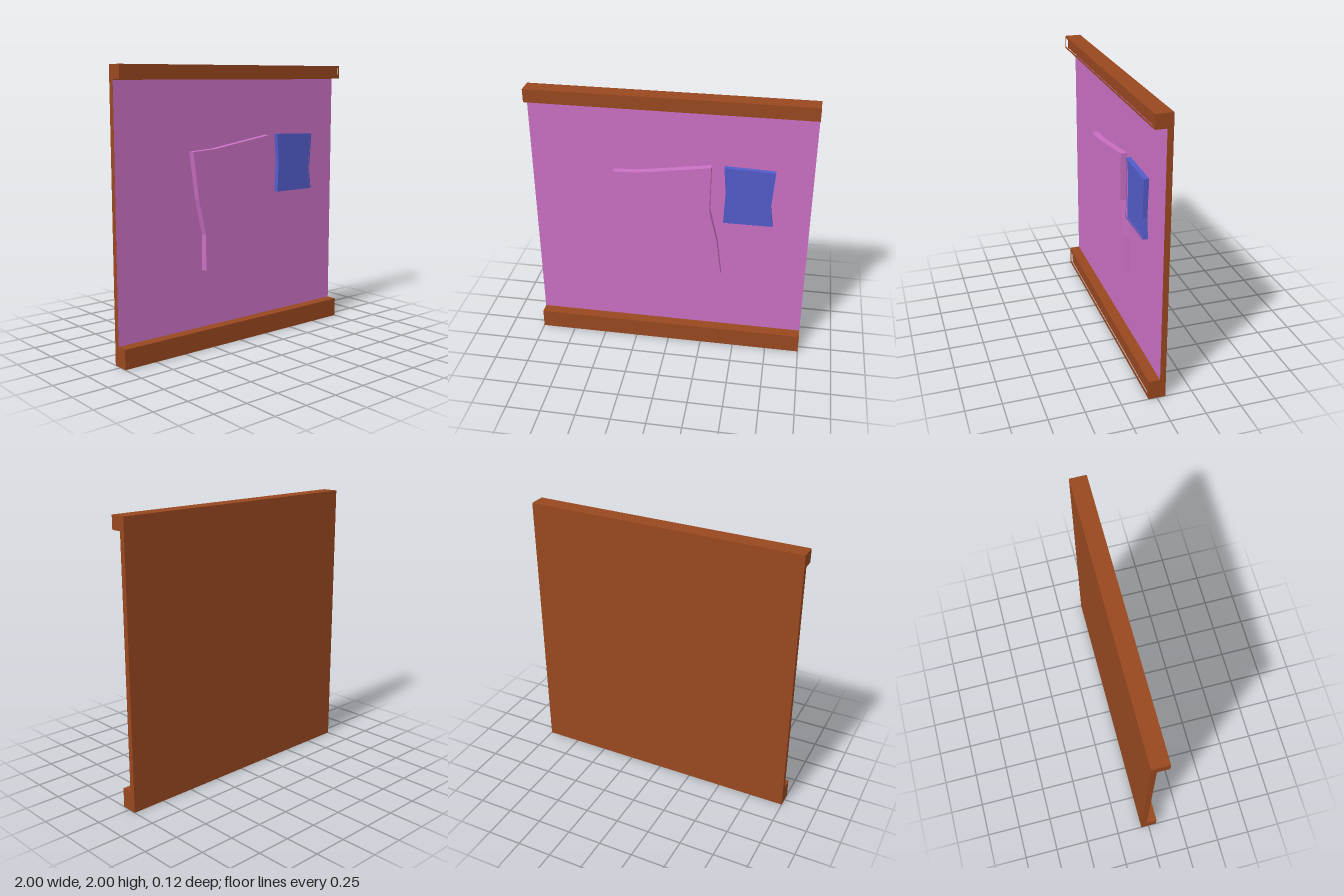
import * as THREE from 'three';

const brown = new THREE.MeshStandardMaterial({ color: 0x994820 });
const pink = new THREE.MeshStandardMaterial({ color: 0xcb70c4 });
const blue = new THREE.MeshStandardMaterial({ color: 0x545cca });

const toPoints = (list) => list.map(([x, y]) => new THREE.Vector2(x, y));
const rect = (x, y0, y1) => [[-x, y1], [x, y1], [x, y0], [-x, y0]];

function addMesh(parent, name, geometry, material, z) {
  const mesh = new THREE.Mesh(geometry, material);
  mesh.name = name;
  mesh.position.z = z;
  parent.add(mesh);
}

// Slab with a raised rim around a recessed front face
function recessedSlab(name, outer, inner, back, front, recess, material) {
  const group = new THREE.Group();
  group.name = name;
  const base = new THREE.Shape(toPoints(outer));
  const rim = new THREE.Shape(toPoints(outer));
  rim.holes.push(new THREE.Path(toPoints(inner)));
  const extrude = (shape, depth) => new THREE.ExtrudeGeometry(shape, { depth, bevelEnabled: false });
  const floor = front - recess;
  addMesh(group, name + 'Base', extrude(base, floor - back), material, back);
  addMesh(group, name + 'Rim', extrude(rim, recess), material, floor);
  return group;
}

export function createModel() {
  const model = new THREE.Group();
  model.name = 'wallPanel';

  // Backing board and its coloured face
  const board = new THREE.BoxGeometry(2, 2, 0.04).translate(0, 1, 0);
  addMesh(model, 'backBoard', board, brown, -0.04);
  const face = new THREE.PlaneGeometry(2, 1.76).translate(0, 1.02, 0);
  addMesh(model, 'wallFace', face, pink, -0.019);

  // Top and bottom rails with inset fronts
  model.add(recessedSlab('topRail', rect(1, 1.905, 2), rect(0.98, 1.92, 1.985), -0.02, 0.06, 0.02, brown));
  model.add(recessedSlab('bottomRail', rect(1, 0, 0.14), rect(0.97, 0.03, 0.11), -0.02, 0.06, 0.02, brown));

  // Large crooked frame
  model.add(recessedSlab('largeFrame',
    [[-0.4, 1.41], [-0.21, 1.42], [0.295, 1.495], [0.29, 1.15], [0.35, 0.9],
      [0.385, 0.63], [-0.295, 0.56], [-0.295, 0.82], [-0.355, 1.075]],
    [[-0.37, 1.385], [-0.195, 1.39], [0.275, 1.465], [0.275, 1.14], [0.33, 0.89],
      [0.36, 0.655], [-0.275, 0.59], [-0.275, 0.83], [-0.33, 1.08]],
    -0.02, 0.03, 0.02, pink));

  // Small crooked frame
  model.add(recessedSlab('smallFrame',
    [[0.385, 1.5], [0.74, 1.487], [0.72, 1.21], [0.74, 1.065], [0.39, 1.065], [0.4, 1.31]],
    [[0.398, 1.488], [0.728, 1.475], [0.711, 1.205], [0.728, 1.078], [0.399, 1.077], [0.41, 1.31]],
    -0.01, 0.025, 0.012, blue));

  return model;
}
